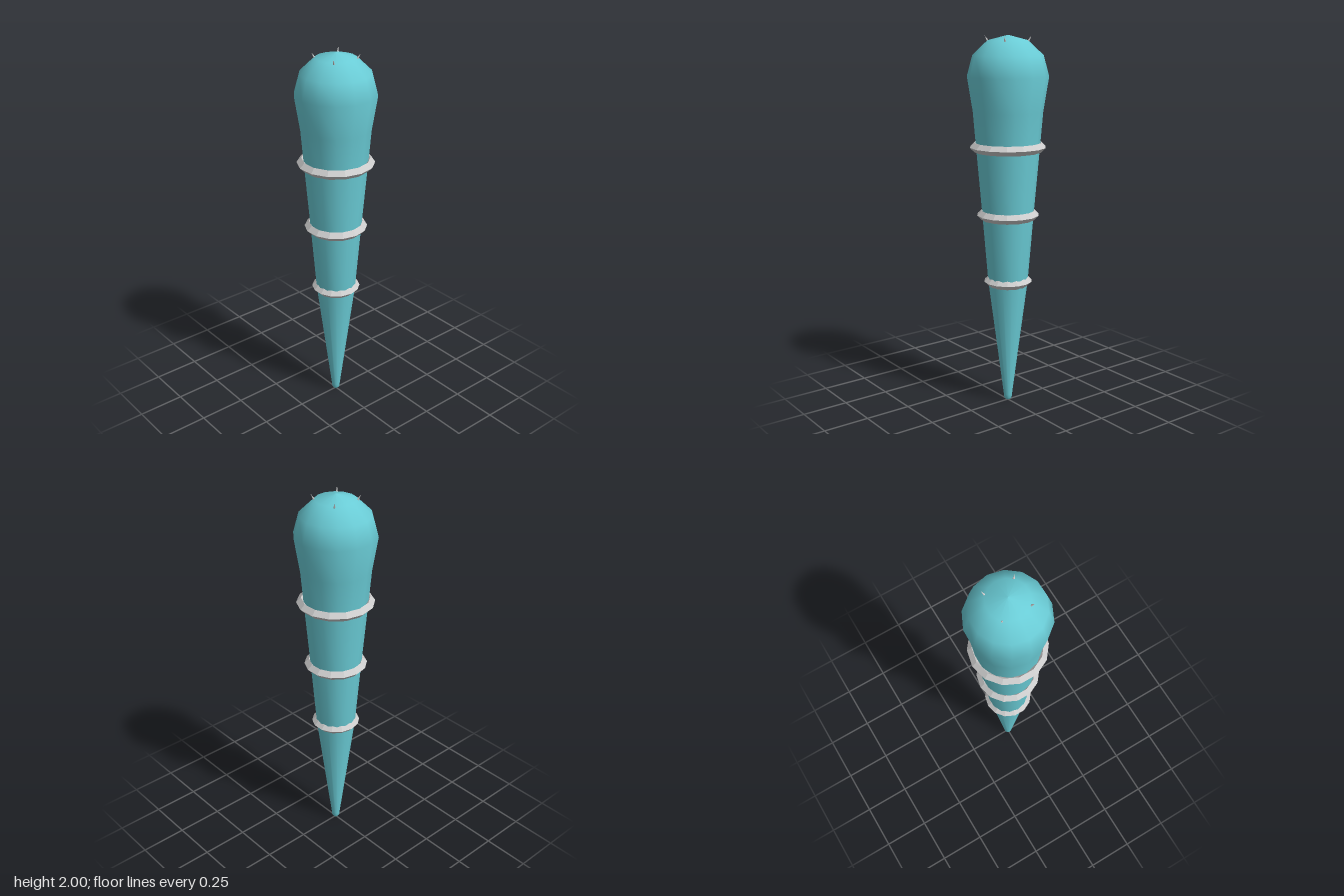
import * as THREE from 'three';

const SIDES = 14;

export function createModel() {
  const model = new THREE.Group();
  const blue = new THREE.MeshStandardMaterial({ color: 0x6accd6 });
  const grey = new THREE.MeshStandardMaterial({ color: 0xcccccc, flatShading: true });

  const add = (name, geometry, material) => {
    const mesh = new THREE.Mesh(geometry, material);
    mesh.name = name;
    model.add(mesh);
    return mesh;
  };

  // Tapered club with a rounded head, from tip to crown
  const profile = [
    [0, 0], [0.013, 0.004], [0.021, 0.015], [0.023, 0.035],
    [0.107, 0.69], [0.137, 1.06], [0.168, 1.42], [0.184, 1.61],
    [0.213, 1.79], [0.184, 1.897], [0.105, 1.973], [0, 2],
  ].map(([r, y]) => new THREE.Vector2(r, y));
  add('clubBody', new THREE.LatheGeometry(profile, SIDES), blue);

  // Diamond-section bands around the shaft
  [[0.178, 1.424], [0.142, 1.061], [0.105, 0.694]].forEach(([radius, y], i) => {
    const band = new THREE.TorusGeometry(radius, 0.025, 4, SIDES).rotateX(Math.PI / 2);
    add(`band${i + 1}`, band, grey).position.y = y;
  });

  // Four small studs leaning outwards on the crown
  const up = new THREE.Vector3(0, 1, 0);
  for (const sx of [-1, 1]) {
    for (const sz of [-1, 1]) {
      const stud = new THREE.ConeGeometry(0.006, 0.034, 6).translate(0, 0.017, 0);
      const mesh = add(`${sz > 0 ? 'front' : 'back'}${sx > 0 ? 'Left' : 'Right'}Stud`, stud, grey);
      mesh.position.set(sx * 0.073, 1.966, sz * 0.073);
      mesh.quaternion.setFromUnitVectors(up, new THREE.Vector3(sx * 0.36, 0.86, sz * 0.36).normalize());
    }
  }
  return model;
}
